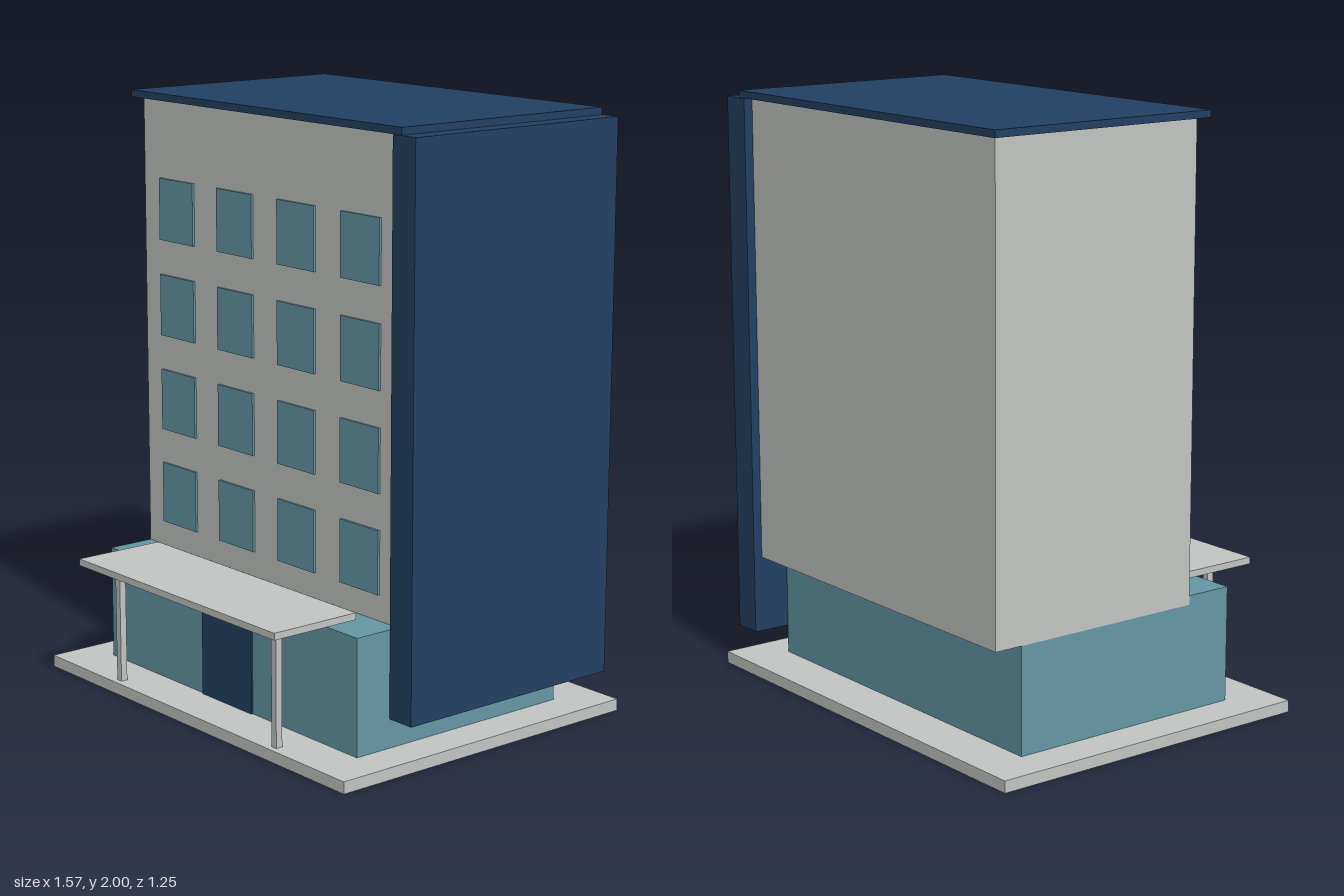
import * as THREE from 'three';

const material = (name, color) => {
  const m = new THREE.MeshStandardMaterial({ color });
  m.name = name;
  return m;
};

export function createModel() {
  const concrete = material('pale concrete', 0xc2c5c3);
  const teal = material('teal glass', 0x6597a5);
  const navy = material('navy cladding', 0x224063);

  const model = new THREE.Group();
  model.name = 'officeBuilding';

  // Box given by its minimum and maximum on each axis
  const block = (name, mat, [x0, x1], [y0, y1], [z0, z1], parent = model) => {
    const mesh = new THREE.Mesh(new THREE.BoxGeometry(x1 - x0, y1 - y0, z1 - z0), mat);
    mesh.position.set((x0 + x1) / 2, (y0 + y1) / 2, (z0 + z1) / 2);
    mesh.name = name;
    parent.add(mesh);
    return mesh;
  };

  // Ground slab, ground floor and the tower overhanging it at the back
  block('baseSlab', concrete, [-0.787, 0.787], [0, 0.04], [-0.623, 0.563]);
  block('groundFloor', teal, [-0.656, 0.656], [0.04, 0.43], [-0.456, 0.4]);
  block('tower', concrete, [-0.657, 0.657], [0.4, 1.976], [-0.557, 0.233]);

  // Roof plate and the tall side wall
  block('roof', navy, [-0.69, 0.69], [1.976, 2], [-0.584, 0.26]);
  block('sideWall', navy, [0.655, 0.758], [0.137, 1.976], [-0.588, 0.266]);

  // Entrance door
  block('door', navy, [-0.132, 0.132], [0.04, 0.392], [0.397, 0.406]);

  // Canopy on two posts
  const canopy = new THREE.Group();
  canopy.name = 'canopy';
  model.add(canopy);
  block('canopyRoof', concrete, [-0.526, 0.526], [0.437, 0.46], [0.295, 0.623], canopy);
  for (const x of [-0.42, 0.42]) {
    block('canopyPost', concrete, [x - 0.012, x + 0.012], [0.04, 0.437], [0.518, 0.542], canopy);
  }

  // Four floors of four windows
  const windows = new THREE.Group();
  windows.name = 'windows';
  model.add(windows);
  for (let row = 0; row < 4; row++) {
    for (let col = 0; col < 4; col++) {
      const x = (col - 1.5) * 0.316;
      const y = 0.621 + row * 0.3287;
      block('window', teal, [x - 0.093, x + 0.093], [y - 0.105, y + 0.105], [0.232, 0.241], windows);
    }
  }
  return model;
}
